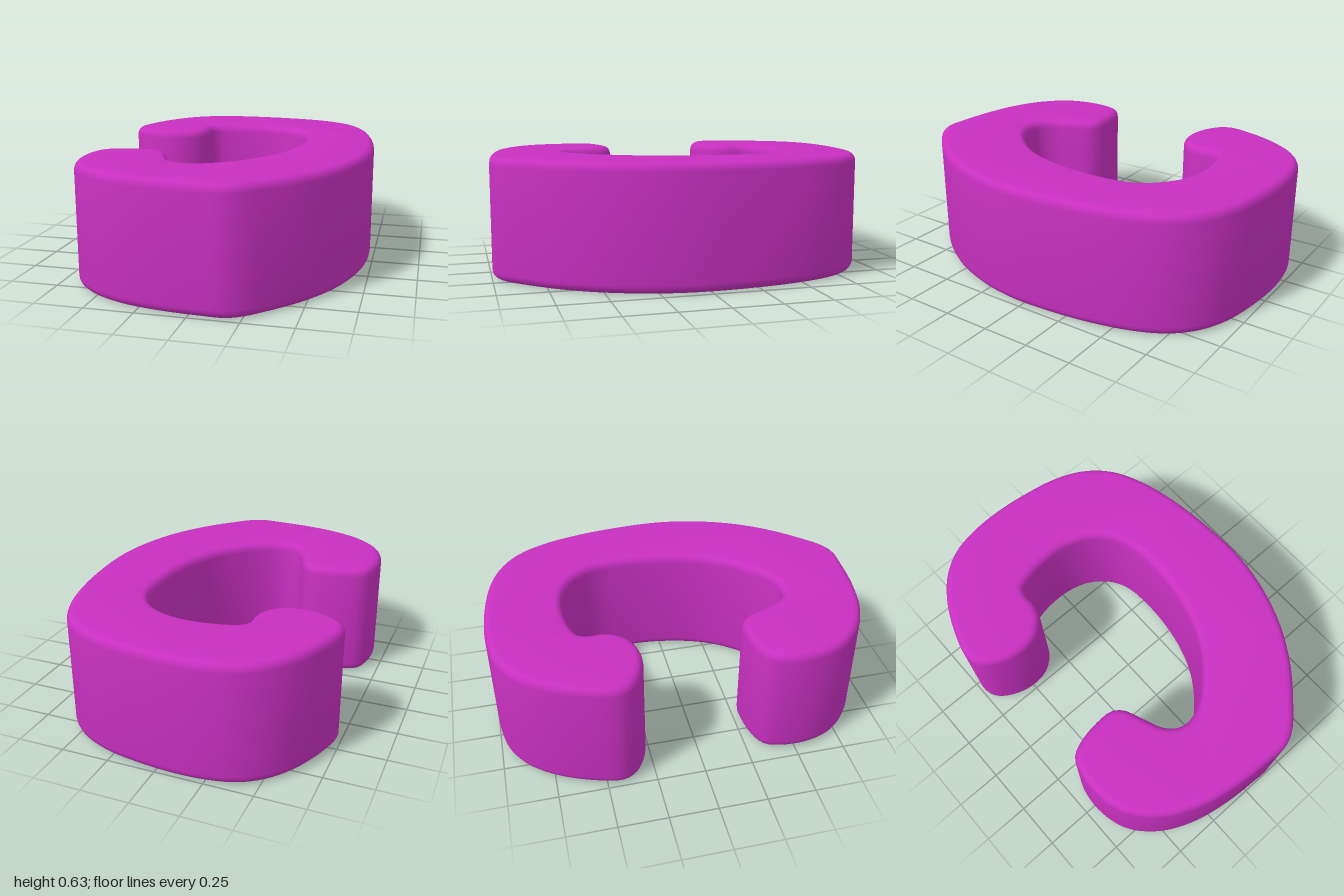
import * as THREE from 'three';
import { toCreasedNormals } from 'three/addons/utils/BufferGeometryUtils.js';

const HEIGHT = 0.628, BEVEL = 0.04, BEVEL_HEIGHT = 0.045;

// Outline of the hook as [x, -z], clockwise from the rear tip.
const OUTLINE = [
  // outer edge
  [-0.735, 0.42], [-0.7, 0.58], [-0.62, 0.755], [-0.52, 0.88], [-0.4, 0.957], [-0.25, 0.992],
  [-0.1, 1], [0.1, 0.985], [0.3, 0.945], [0.45, 0.875], [0.56, 0.77], [0.64, 0.615],
  [0.7, 0.38], [0.73, 0.1], [0.73, -0.08], [0.7, -0.27], [0.62, -0.5], [0.5, -0.7],
  [0.36, -0.86], [0.25, -0.96], [0.17, -0.993], [0.05, -0.992], [-0.15, -0.975], [-0.35, -0.93],
  [-0.52, -0.845], [-0.64, -0.72], [-0.69, -0.57], [-0.685, -0.42],
  // front tip
  [-0.65, -0.335], [-0.57, -0.295], [-0.45, -0.275], [-0.36, -0.28], [-0.31, -0.32], [-0.27, -0.41],
  // inner edge
  [-0.22, -0.52], [-0.16, -0.57], [-0.08, -0.575], [0.02, -0.53], [0.13, -0.43], [0.23, -0.29],
  [0.29, -0.14], [0.325, 0.03], [0.335, 0.2], [0.32, 0.36], [0.27, 0.46], [0.17, 0.545],
  [0.05, 0.585], [-0.08, 0.59], [-0.2, 0.57], [-0.27, 0.54], [-0.285, 0.5],
  // rear tip
  [-0.285, 0.42], [-0.32, 0.34], [-0.4, 0.28], [-0.5, 0.265], [-0.6, 0.285], [-0.7, 0.345],
];

export function createModel() {
  const group = new THREE.Group();
  group.name = 'hookBlock';

  // Smooth closed curve through the outline
  const curve = new THREE.CatmullRomCurve3(
    OUTLINE.map(([x, y]) => new THREE.Vector3(x, y, 0)), true, 'centripetal');
  const points = curve.getSpacedPoints(240).slice(0, -1);
  const shape = new THREE.Shape(points.map((p) => new THREE.Vector2(p.x, p.y)));

  // Thick slab with rounded rims, laid flat on the ground
  const slab = new THREE.ExtrudeGeometry(shape, {
    depth: HEIGHT - 2 * BEVEL_HEIGHT,
    bevelThickness: BEVEL_HEIGHT,
    bevelSize: BEVEL,
    bevelOffset: -BEVEL,
    bevelSegments: 5,
  });
  slab.translate(0, 0, BEVEL_HEIGHT);
  slab.rotateX(-Math.PI / 2);

  const body = new THREE.Mesh(
    toCreasedNormals(slab, 0.8),
    new THREE.MeshStandardMaterial({ color: 0xc830c0 }));
  body.name = 'curvedBody';
  group.add(body);
  return group;
}
